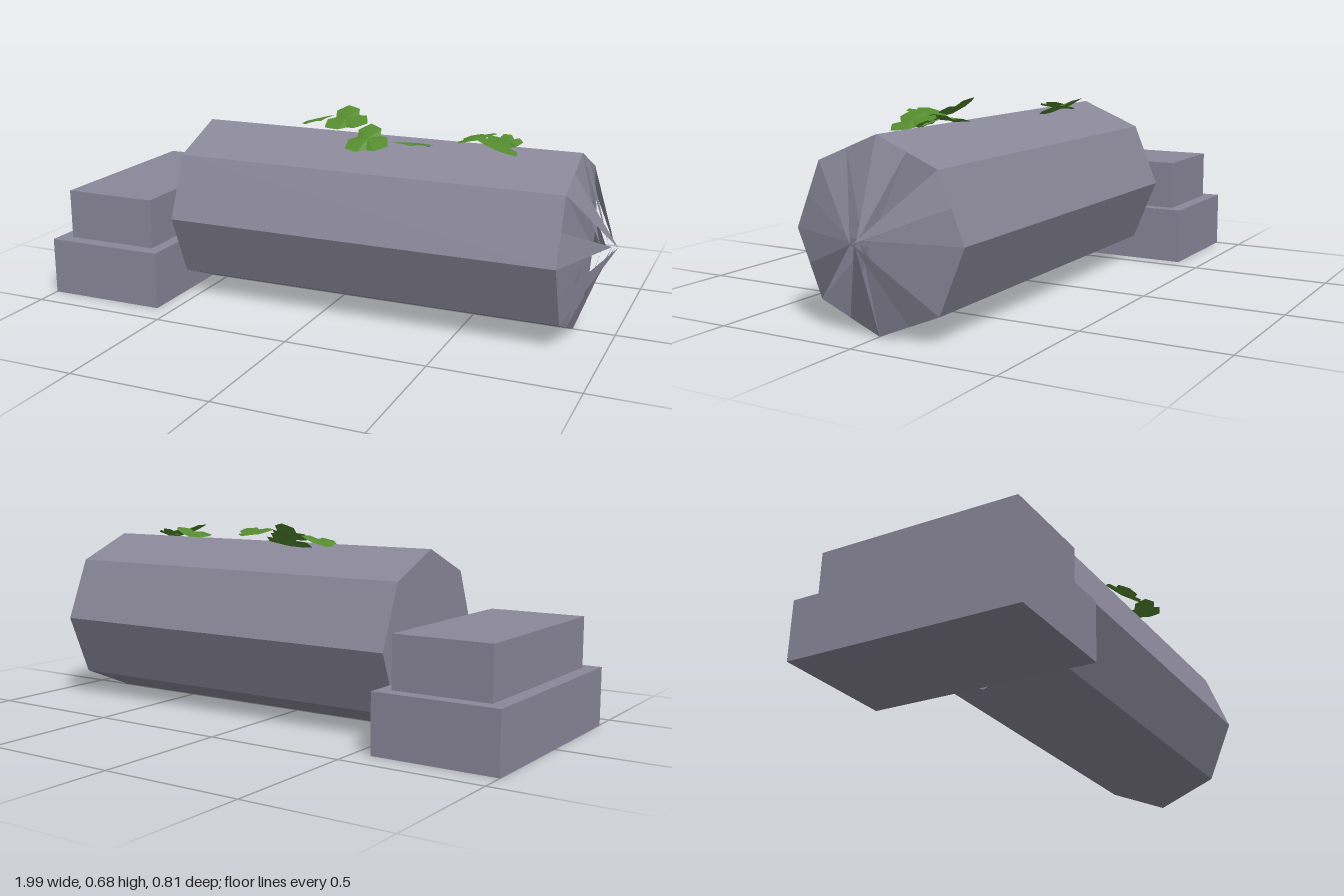
import * as THREE from 'three';

const R = 0.31, END = 0.855;

// Three-lobed leaf lying in the xz plane, slightly raised in the middle
function leafGeometry(r) {
  const lobe = [[-60, 0.55], [-36, 0.8], [-14, 0.88], [0, 1], [14, 0.88], [36, 0.8]];
  const rim = [];
  for (let k = 0; k < 3; k++) {
    for (const [deg, s] of lobe) {
      const a = THREE.MathUtils.degToRad(deg + 120 * k + 90);
      rim.push([Math.cos(a) * r * s, deg === -60 ? -0.006 : 0, -Math.sin(a) * r * s]);
    }
  }
  const pos = [];
  rim.forEach((p, i) => pos.push(0, 0.004, 0, ...p, ...rim[(i + 1) % rim.length]));
  const g = new THREE.BufferGeometry();
  g.setAttribute('position', new THREE.Float32BufferAttribute(pos, 3));
  g.computeVertexNormals();
  return g;
}

// Splintered break: one sliver per half facet, each with its own tip on the axis
function breakGeometry() {
  const tips = [0.97, 0.9, 0.99, 0.93, 0.96, 0.88, 0.98, 0.92, 0.95, 0.9, 0.98, 0.94, 0.97, 0.89, 0.99, 0.92];
  const rim = tips.map((_, i) => {
    const a = i * Math.PI / 8;
    const r = i % 2 ? R * Math.cos(Math.PI / 8) : R;
    return [END, R + Math.sin(a) * r, Math.cos(a) * r];
  });
  const pos = [];
  tips.forEach((x, i) => pos.push(x, R, 0, ...rim[(i + 1) % 16], ...rim[i]));
  const g = new THREE.BufferGeometry();
  g.setAttribute('position', new THREE.Float32BufferAttribute(pos, 3));
  g.computeVertexNormals();
  return g;
}

export function createModel() {
  const model = new THREE.Group();
  model.name = 'fallenColumn';

  const stone = new THREE.MeshStandardMaterial({ color: 0x8a8799, flatShading: true });
  stone.name = 'stone';
  stone.side = THREE.DoubleSide;
  const ivy = new THREE.MeshStandardMaterial({ color: 0x558b2f, flatShading: true });
  ivy.name = 'ivyGreen';
  ivy.side = THREE.DoubleSide;

  const add = (name, geometry, material, x = 0, y = 0, z = 0) => {
    const m = new THREE.Mesh(geometry, material);
    m.name = name;
    m.position.set(x, y, z);
    model.add(m);
    return m;
  };

  // Stepped plinth
  add('plinthBase', new THREE.BoxGeometry(0.44, 0.206, 0.81), stone, -0.78, 0.103, 0);
  add('plinthStep', new THREE.BoxGeometry(0.345, 0.18, 0.71), stone, -0.777, 0.295, 0);

  // Eight-sided shaft lying along x
  const shaft = new THREE.CylinderGeometry(R, R, 1.4, 8).rotateZ(-Math.PI / 2);
  add('shaft', shaft, stone, END - 0.7, R, 0);
  add('brokenEnd', breakGeometry(), stone);

  // Ivy leaves: x, y, z, radius, tilt about x, turn, tilt about z
  const leaves = [
    [-0.05, 0.637, -0.135, 0.092, 0.4, 0.3, 0],
    [-0.15, 0.635, -0.075, 0.072, 0, 0.9, 0.28],
    [0.16, 0.638, 0.172, 0.085, 0.5, 0.2, 0],
    [0.33, 0.638, 0.172, 0.08, -0.18, 0, 0],
    [0.485, 0.637, -0.01, 0.078, 0, 0.5, 0.25],
    [0.58, 0.636, 0.055, 0.088, 0, 0.1, -0.36],
    [0.6, 0.632, -0.01, 0.05, 0.45, 0.6, 0],
  ];
  for (const [x, y, z, r, tiltX, turn, tiltZ] of leaves) {
    const leaf = add('ivyLeaf', leafGeometry(r).rotateY(turn), ivy, x, y, z);
    leaf.rotation.set(tiltX, 0, tiltZ);
  }
  return model;
}
